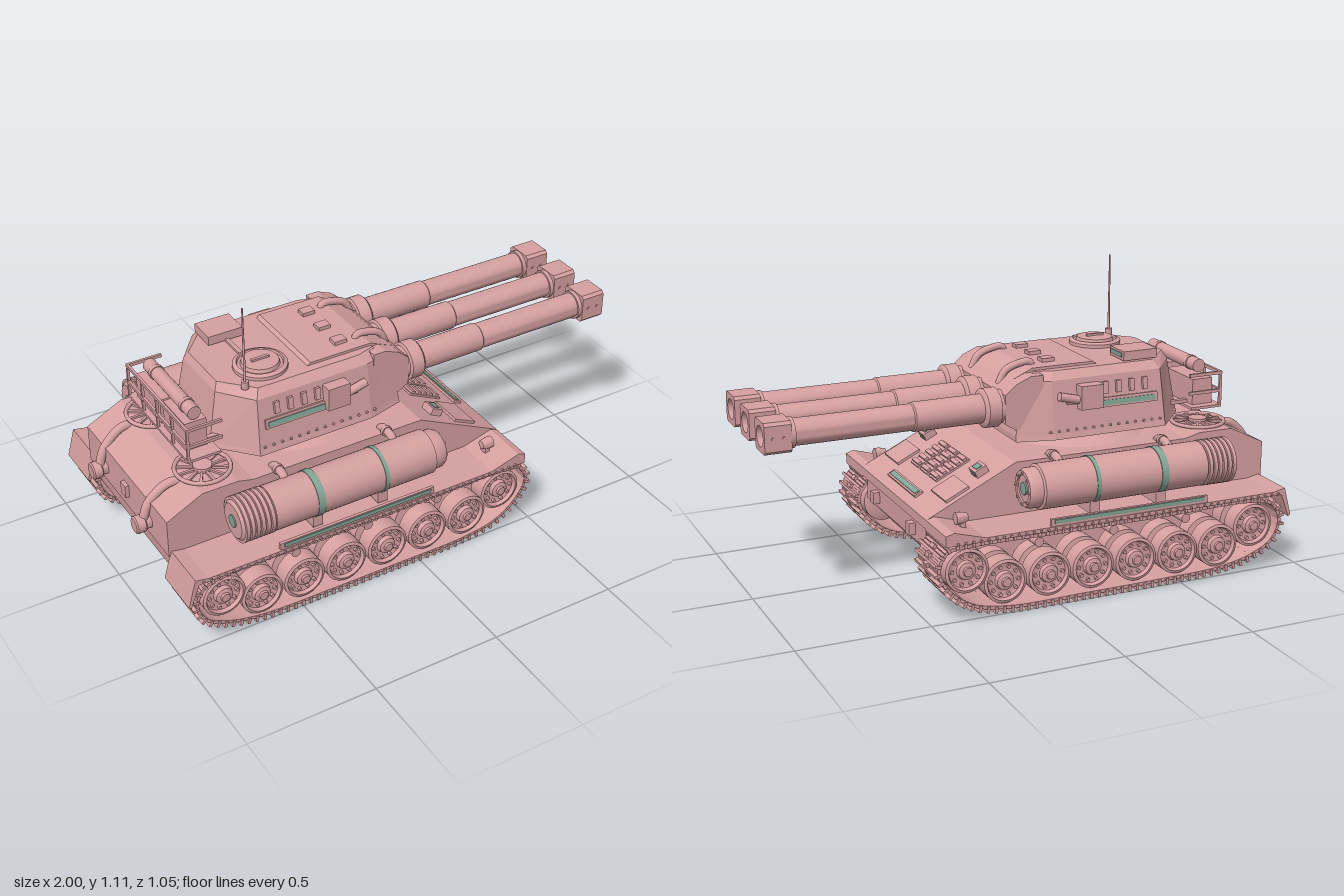
import * as THREE from 'three';
import { mergeGeometries, toCreasedNormals } from 'three/addons/utils/BufferGeometryUtils.js';

const pink = new THREE.MeshStandardMaterial({ color: 0xd6a0a0 });
pink.name = 'dusty pink';
const green = new THREE.MeshStandardMaterial({ color: 0x84a596 });
green.name = 'sage green';

const box = (w, h, d) => new THREE.BoxGeometry(w, h, d);
const cylY = (r, h, n = 28, r2 = r) => new THREE.CylinderGeometry(r2, r, h, n);
const cylX = (r, h, n = 28) => cylY(r, h, n).rotateZ(-Math.PI / 2);
const cylZ = (r, h, n = 16) => cylY(r, h, n).rotateX(Math.PI / 2);
const lathe = (pts, n = 32) => toCreasedNormals(
  new THREE.LatheGeometry(pts.map(p => new THREE.Vector2(...p)), n), 0.6);
const latheX = (pts, n) => lathe(pts, n).rotateZ(-Math.PI / 2);
const tube = (pts, r) => new THREE.TubeGeometry(
  new THREE.CatmullRomCurve3(pts.map(p => new THREE.Vector3(...p))), 16, r, 12);

function add(parent, name, geo, x = 0, y = 0, z = 0, mat = pink, rz = 0) {
  const m = new THREE.Mesh(geo, mat);
  m.name = name;
  m.position.set(x, y, z);
  m.rotation.z = rz;
  parent.add(m);
  return m;
}

// side profile in x/y, extruded across z and centred
function slab(pts, width) {
  const g = new THREE.ExtrudeGeometry(new THREE.Shape(pts.map(p => new THREE.Vector2(...p))),
    { depth: width, bevelEnabled: false });
  return g.translate(0, 0, -width / 2);
}

// stacked rings: each is [half outline front to rear, y]
function loft(rings) {
  const loops = rings.map(([half, ys]) => {
    const pts = half.map(([x, z], i) => [x, Array.isArray(ys) ? ys[i] : ys, -z]);
    return [...pts, ...pts.map(([x, y, z]) => [x, y, -z]).reverse()];
  });
  const v = [], n = loops[0].length;
  for (let k = 0; k < loops.length - 1; k++) for (let i = 0; i < n; i++) {
    const j = (i + 1) % n, [a, b, c, d] = [loops[k][i], loops[k][j], loops[k + 1][j], loops[k + 1][i]];
    v.push(...a, ...b, ...c, ...a, ...c, ...d);
  }
  const top = loops.at(-1), bot = loops[0];
  for (let i = 1; i < n - 1; i++) {
    v.push(...top[0], ...top[i], ...top[i + 1]);
    v.push(...bot[0], ...bot[i + 1], ...bot[i]);
  }
  const g = new THREE.BufferGeometry();
  g.setAttribute('position', new THREE.Float32BufferAttribute(v, 3));
  g.computeVertexNormals();
  return g;
}

function makeHull(root) {
  const hull = new THREE.Group();
  hull.name = 'hull';
  root.add(hull);
  add(hull, 'lowerHull', slab([[-0.8, 0.095], [0.33, 0.095], [0.44, 0.215], [0.44, 0.305], [-0.93, 0.305], [-0.92, 0.22]], 0.61));
  add(hull, 'upperHull', slab([[-0.94, 0.3], [0.45, 0.3], [0.45, 0.335], [0.1, 0.505], [-0.6, 0.505],
    [-0.66, 0.52], [-0.8, 0.52], [-0.94, 0.45]], 0.67));
  add(hull, 'turretRing', lathe([[0, 0.5], [0.29, 0.5], [0.24, 0.53], [0.22, 0.535], [0.22, 0.56], [0, 0.56]], 40), -0.28);
  // sloped front plate fittings
  const glacis = new THREE.Group();
  glacis.name = 'frontPlateFittings';
  glacis.position.set(0.275, 0.42, 0);
  glacis.rotation.z = -0.452;
  hull.add(glacis);
  for (const z of [-0.09, 0, 0.09]) {
    add(glacis, 'ventFrame', box(0.15, 0.008, 0.07), -0.02, 0.003, z);
    for (let i = 0; i < 5; i++) add(glacis, 'ventSlat', box(0.016, 0.012, 0.062), -0.08 + i * 0.03, 0.01, z);
  }
  add(glacis, 'slitFrame', box(0.035, 0.01, 0.28), 0.137, 0.004, 0);
  add(glacis, 'slitGlass', box(0.02, 0.006, 0.26), 0.137, 0.009, 0, green);
  for (const s of [-1, 1]) {
    add(glacis, 'lampBox', box(0.05, 0.03, 0.06), -0.08, 0.012, s * 0.25);
    add(glacis, 'lampGlass', box(0.004, 0.02, 0.036), -0.054, 0.014, s * 0.25, green);
    add(glacis, 'lampTopGlass', box(0.025, 0.004, 0.036), -0.08, 0.028, s * 0.25, green);
    add(glacis, 'accessPanel', box(0.1, 0.012, 0.14), 0.045, 0.004, s * 0.24);
    add(hull, 'towHook', box(0.03, 0.045, 0.035), 0.45, 0.258, s * 0.185);
    // engine fans and exhausts
    add(hull, 'fanRim', new THREE.TorusGeometry(0.1, 0.008, 8, 36).rotateX(Math.PI / 2), -0.73, 0.525, s * 0.2);
    add(hull, 'fanHub', cylY(0.035, 0.02), -0.73, 0.527, s * 0.2);
    for (let i = 0; i < 6; i++)
      add(hull, 'fanBlade', box(0.2, 0.008, 0.01).rotateY(i * Math.PI / 6), -0.73, 0.524, s * 0.2);
    add(hull, 'exhaustPipe', tube([[-0.8, 0.5, s * 0.2], [-0.87, 0.5, s * 0.195], [-0.94, 0.44, s * 0.188], [-0.965, 0.37, s * 0.185]], 0.017));
    add(hull, 'exhaustOutlet', latheX([[0, -0.035], [0.027, -0.035], [0.033, -0.03], [0.033, 0.0], [0.026, 0.005], [0.026, 0.06], [0, 0.06]], 20), -0.965, 0.36, s * 0.185);
  }
  add(hull, 'rearLatch', box(0.02, 0.05, 0.04), -0.945, 0.38, 0);
}

function makeTank(side, s) {
  const g = new THREE.Group();
  g.name = 'sideCylinder';
  g.position.set(0, 0.435, s * 0.425);
  side.add(g);
  const prof = [[0, -0.73], [0.065, -0.73], [0.075, -0.72]];
  for (let i = 0; i < 6; i++) {
    const x = -0.72 + i * 0.02;
    prof.push([0.086, x], [0.086, x + 0.014], [0.079, x + 0.015], [0.079, x + 0.019]);
  }
  prof.push([0.084, -0.6], [0.084, 0.06], [0.074, 0.065], [0.074, 0.1], [0.066, 0.115], [0.05, 0.115], [0.05, 0.108], [0, 0.108]);
  add(g, 'cylinderBody', latheX(prof, 36));
  add(g, 'endGlass', cylX(0.024, 0.006), 0.111, 0, 0, green);
  add(g, 'rearGlass', cylX(0.024, 0.006), -0.732, 0, 0, green);
  for (let i = 0; i < 8; i++) {
    const a = i * Math.PI / 4;
    add(g, 'endBolt', cylX(0.005, 0.008, 8), 0.117, 0.058 * Math.cos(a), 0.058 * Math.sin(a));
  }
  for (const x of [-0.42, -0.15]) {
    add(g, 'strap', cylX(0.087, x < -0.3 ? 0.028 : 0.016, 36), x, 0, 0, green);
    add(g, 'saddle', box(0.04, 0.06, 0.1), x, -0.085, 0);
  }
  add(g, 'saddleGlass', box(0.006, 0.016, 0.02), -0.127, -0.075, s * 0.01, green);
  for (const x of [-0.5, -0.05]) {
    add(side, 'elbowPipe', tube([[x, 0.495, s * 0.29], [x, 0.512, s * 0.31], [x, 0.513, s * 0.35], [x, 0.508, s * 0.372], [x, 0.48, s * 0.385]], 0.016));
    add(side, 'pipeCollar', cylZ(0.021, 0.014), x, 0.512, s * 0.335);
  }
}

function makeRunningGear(root, s) {
  const side = new THREE.Group();
  side.name = 'runningGear';
  root.add(side);
  // fender with sloping rear flap
  add(side, 'fender', slab([[-0.93, 0.295], [0.45, 0.295], [0.45, 0.335], [0.42, 0.345], [0.3, 0.31], [-0.88, 0.31], [-0.93, 0.32]], 0.19), 0, 0, s * 0.425);
  add(side, 'rearFlap', slab([[-0.93, 0.32], [-0.96, 0.21], [-0.95, 0.205], [-0.915, 0.3]], 0.19), 0, 0, s * 0.425);
  add(side, 'fenderSlitFrame', box(0.64, 0.03, 0.012), -0.275, 0.322, s * 0.51);
  add(side, 'fenderSlit', box(0.61, 0.015, 0.006), -0.275, 0.327, s * 0.517, green);
  add(side, 'headlamp', latheX([[0, -0.03], [0.016, -0.025], [0.022, 0], [0.022, 0.02], [0, 0.02]], 16), 0.35, 0.355, s * 0.41);
  add(side, 'headlampFoot', box(0.02, 0.03, 0.03), 0.345, 0.333, s * 0.41);
  const bolts = [];
  for (let i = 0; i < 46; i++) bolts.push(cylZ(0.005, 0.012, 6).translate(-0.9 + i * 0.029, 0.302, s * 0.52));
  add(side, 'fenderBolts', mergeGeometries(bolts));

  // track: links placed along a closed loop
  const path = [[-0.66, 0.035], [-0.4, 0.027], [-0.1, 0.025], [0.2, 0.027], [0.34, 0.055], [0.43, 0.12], [0.47, 0.2], [0.44, 0.265],
    [0.36, 0.28], [0, 0.28], [-0.4, 0.28], [-0.8, 0.28], [-0.89, 0.255], [-0.92, 0.19], [-0.89, 0.115], [-0.8, 0.065]];
  const curve = new THREE.CatmullRomCurve3(path.map(([x, y]) => new THREE.Vector3(x, y, 0)), true);
  curve.arcLengthDivisions = 800;
  const n = 96, pitch = curve.getLength() / n, links = [];
  for (let i = 0; i < n; i++) {
    const p = curve.getPointAt(i / n), t = curve.getTangentAt(i / n);
    const place = geo => links.push(geo.rotateZ(Math.atan2(t.y, t.x)).translate(p.x, p.y, s * 0.412));
    place(box(pitch * 1.04, 0.012, 0.185));
    place(box(0.011, 0.024, 0.195).translate(0, -0.008, 0));
    place(box(0.016, 0.014, 0.032).translate(pitch / 2, -0.01, 0));
  }
  add(side, 'track', mergeGeometries(links));

  // road wheels, then raised front and rear wheels
  const wheelGeo = lathe([[0, -0.08], [0.07, -0.08], [0.083, -0.075], [0.083, -0.015], [0.05, -0.01], [0.05, 0.01], [0.083, 0.015],
    [0.083, 0.08], [0.072, 0.084], [0.066, 0.07], [0.045, 0.064], [0.036, 0.066], [0.032, 0.082], [0.018, 0.086], [0.016, 0.094], [0, 0.094]], 32)
    .rotateX(s * Math.PI / 2);
  const wheels = [-0.66, -0.488, -0.313, -0.138, 0.037, 0.212].map(x => [x, 0.122]);
  wheels.push([0.36, 0.185], [-0.81, 0.18]);
  wheels.forEach(([x, y], k) => {
    add(side, k < 6 ? 'roadWheel' : 'endWheel', wheelGeo, x, y, s * 0.412);
    const nuts = [];
    for (let i = 0; i < 10; i++) {
      const a = i * Math.PI / 5;
      nuts.push(cylZ(0.007, 0.016, 8).translate(0.054 * Math.cos(a), 0.054 * Math.sin(a), s * 0.068));
    }
    add(side, 'wheelNuts', mergeGeometries(nuts), x, y, s * 0.412);
  });
  for (const x of [-0.52, -0.22, 0.08])
    add(side, 'returnRoller', cylZ(0.018, 0.16), x, 0.25, s * 0.412);
  makeTank(side, s);
}

function makeTurret(root) {
  const t = new THREE.Group();
  t.name = 'turret';
  root.add(t);
  add(t, 'turretShell', loft([
    [[[0.06, 0.25], [-0.08, 0.285], [-0.54, 0.285], [-0.67, 0.14]], 0.55],
    [[[0.06, 0.245], [-0.08, 0.28], [-0.54, 0.28], [-0.665, 0.138]], 0.57],
    [[[0.01, 0.225], [-0.08, 0.25], [-0.53, 0.25], [-0.63, 0.125]], 0.765],
    [[[-0.03, 0.2], [-0.1, 0.222], [-0.51, 0.222], [-0.615, 0.11]], 0.795]]));
  add(t, 'mantlet', slab([[-0.05, 0.6], [0.06, 0.595], [0.1, 0.62], [0.1, 0.73], [0.06, 0.765], [0, 0.79], [-0.05, 0.79]], 0.49));
  add(t, 'roofPlate', slab([[-0.3, 0.79], [-0.04, 0.79], [0.06, 0.755], [0.06, 0.765], [-0.03, 0.805], [-0.28, 0.805]], 0.38));

  // three guns
  for (const z of [-0.183, 0, 0.183]) {
    const gun = new THREE.Group();
    gun.name = 'gun';
    gun.position.set(0, 0.675, z);
    t.add(gun);
    add(gun, 'barrel', latheX([[0, 0.08], [0.062, 0.08], [0.062, 0.11], [0.073, 0.115], [0.073, 0.165], [0.066, 0.172], [0.054, 0.175],
      [0.054, 0.44], [0.049, 0.445], [0.049, 0.9], [0, 0.9]], 32));
    add(gun, 'muzzleCollar', cylX(0.056, 0.016), 0.893);
    // hollow square muzzle
    const sq = new THREE.Shape();
    const h = 0.057, c = 0.046;
    [[h, -c], [h, c], [c, h], [-c, h], [-h, c], [-h, -c], [-c, -h], [c, -h]].forEach((p, i) => i ? sq.lineTo(...p) : sq.moveTo(...p));
    sq.holes.push(new THREE.Path().absarc(0, 0, 0.038, 0, Math.PI * 2, true));
    add(gun, 'muzzle', new THREE.ExtrudeGeometry(sq, { depth: 0.098, bevelEnabled: false }).rotateY(Math.PI / 2), 0.902);
    add(gun, 'bore', cylX(0.039, 0.01), 0.94);
    for (const s of [-1, 1]) for (const x of [0.93, 0.97])
      add(gun, 'muzzleBolt', cylZ(0.006, 0.005, 8), x, 0, s * 0.058);
  }

  // roof fittings
  add(t, 'hatch', lathe([[0, 0], [0.1, 0], [0.1, 0.015], [0.085, 0.022], [0.082, 0.014], [0.072, 0.014], [0.068, 0.028], [0, 0.031]], 36), -0.435, 0.793, 0.1);
  add(t, 'hatchHandle', box(0.07, 0.01, 0.012), -0.435, 0.826, 0.1);
  add(t, 'sightBox', box(0.14, 0.035, 0.11), -0.465, 0.816, -0.16);
  add(t, 'sightGlass', box(0.006, 0.016, 0.085), -0.394, 0.818, -0.16, green);
  add(t, 'sightCable', box(0.016, 0.012, 0.12), -0.46, 0.798, -0.06);
  add(t, 'antennaBase', cylY(0.014, 0.03, 12), -0.545, 0.805, 0.193);
  add(t, 'antenna', cylY(0.005, 0.31, 8, 0.003), -0.545, 0.96, 0.193);
  for (const z of [-0.11, 0.005, 0.12]) add(t, 'roofBlock', box(0.05, 0.022, 0.04), -0.125, 0.808, z);
  for (const z of [-0.125, 0.125])
    add(t, 'roofPipe', tube([[-0.06, 0.79, z], [-0.05, 0.813, z], [0.0, 0.81, z], [0.05, 0.788, z], [0.075, 0.74, z]], 0.014));

  // side fittings
  for (const s of [-1, 1]) {
    const lean = (name, w, h, d, x, y, z, mat) => {
      const m = add(t, name, box(w, h, d), x, y, s * z, mat);
      m.rotation.x = -s * 0.152;
      return m;
    };
    lean('visionFrame', 0.27, 0.036, 0.02, -0.375, 0.665, 0.263);
    lean('visionSlit', 0.25, 0.02, 0.006, -0.375, 0.665, 0.274, green);
    for (let i = 0; i < 4; i++) lean('clip', 0.02, 0.045, 0.018, -0.46 + i * 0.055, 0.72, 0.26);
    add(t, 'sideBox', box(0.09, 0.09, 0.045), -0.225, 0.7, s * 0.277);
    add(t, 'launcher', cylX(0.016, 0.08, 14), -0.14, 0.7, s * 0.275, pink, 0.25);
    add(t, 'launcherMount', box(0.04, 0.03, 0.03), -0.155, 0.69, s * 0.262);
    const rivets = [];
    for (let i = 0; i < 14; i++) rivets.push(cylZ(0.005, 0.01, 6).translate(-0.52 + i * 0.035, 0.58, s * 0.28));
    add(t, 'sideRivets', mergeGeometries(rivets));
  }

  // rear stowage rack with a rolled cover
  const rack = new THREE.Group();
  rack.name = 'rearRack';
  rack.position.set(-0.735, 0, -0.01);
  t.add(rack);
  add(rack, 'rackFloor', box(0.13, 0.01, 0.49), 0, 0.59, 0);
  add(rack, 'stowedBox', box(0.085, 0.1, 0.2), 0, 0.645, -0.11);
  add(rack, 'stowedCrate', box(0.085, 0.115, 0.17), 0, 0.65, 0.1);
  for (const y of [0.65, 0.72]) {
    add(rack, 'rearRail', box(0.01, 0.012, 0.49), -0.06, y, 0);
    for (const z of [-0.24, 0.24]) add(rack, 'sideRail', box(0.14, 0.012, 0.01), 0.005, y, z);
  }
  for (const z of [-0.24, -0.12, 0, 0.12, 0.24]) add(rack, 'rackPost', box(0.01, 0.135, 0.01), -0.06, 0.655, z);
  for (const z of [-0.16, 0.16]) add(rack, 'rackArm', box(0.13, 0.014, 0.02), 0.07, 0.6, z);
  add(rack, 'coverRoll', cylZ(0.026, 0.36, 20), 0, 0.738, 0);
  for (const z of [-0.12, 0.12]) add(rack, 'rollStrap', cylZ(0.029, 0.016, 20), 0, 0.738, z);
}

export function createModel() {
  const root = new THREE.Group();
  root.name = 'tripleGunTank';
  makeHull(root);
  for (const s of [1, -1]) makeRunningGear(root, s);
  makeTurret(root);
  return root;
}
